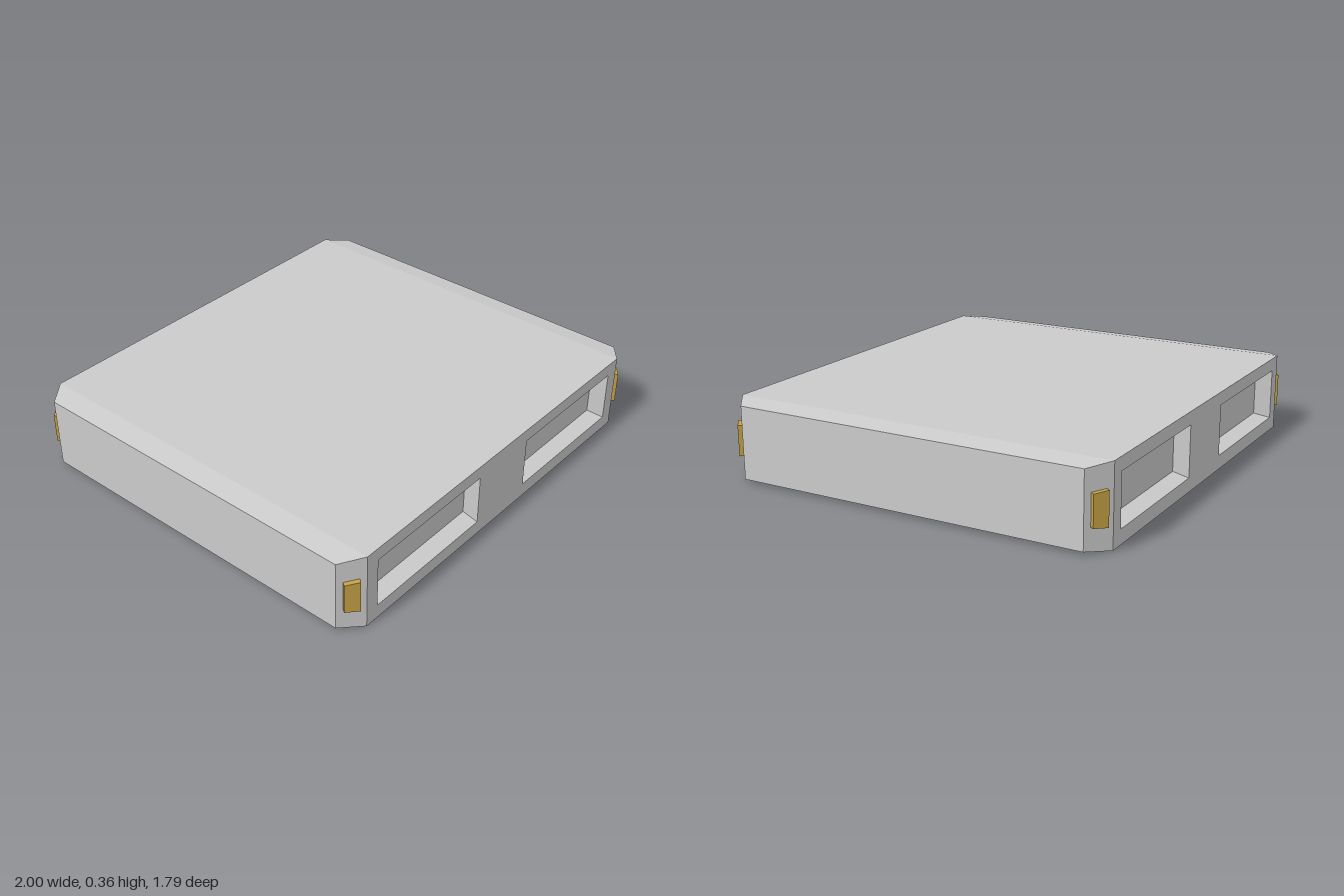
import * as THREE from 'three';

const HEIGHT = 0.36, DROP = 0.015;      // full height, bevel drop at the side walls
const XF = 0.9, ZF = 0.895;             // end face half width and depth
const XS = 1.0, ZS = 0.82;              // side wall half width and depth
const MID = HEIGHT / 2;

const grey = new THREE.MeshStandardMaterial({ color: 0xcccccc, flatShading: true });
const gold = new THREE.MeshStandardMaterial({ color: 0xc4a146, flatShading: true });

// Flat-faced geometry from convex polygons, corners counter-clockwise from outside
function facets(polygons) {
  const pos = [];
  for (const p of polygons)
    for (let i = 1; i < p.length - 1; i++) pos.push(...p[0], ...p[i], ...p[i + 1]);
  const g = new THREE.BufferGeometry();
  g.setAttribute('position', new THREE.Float32BufferAttribute(pos, 3));
  g.computeVertexNormals();
  return g;
}

function addMesh(parent, name, geometry, material) {
  const mesh = new THREE.Mesh(geometry, material);
  mesh.name = name;
  parent.add(mesh);
  return mesh;
}

// Corners of an upright rectangle, counter-clockwise seen from +z
const rect = (x0, x1, y0, y1, z) => [[x0, y0, z], [x1, y0, z], [x1, y1, z], [x0, y1, z]];

// Main slab: top and bottom panels, sloped borders, side walls and cut corners
function slabGeometry() {
  const polys = [];
  const addFace = (p, flip) => polys.push(flip ? p.slice().reverse() : p);
  for (const top of [true, false]) {
    const y = top ? HEIGHT : 0, ye = top ? HEIGHT - DROP : DROP;
    addFace([[-XF, y, ZF], [XF, y, ZF], [XF, y, -ZF], [-XF, y, -ZF]], !top);
    for (const s of [1, -1])
      addFace([[s * XF, y, ZF], [s * XS, ye, ZS], [s * XS, ye, -ZS], [s * XF, y, -ZF]], top !== (s > 0));
  }
  for (const s of [1, -1]) {
    addFace([[s * XS, DROP, ZS], [s * XS, DROP, -ZS], [s * XS, HEIGHT - DROP, -ZS], [s * XS, HEIGHT - DROP, ZS]], s < 0);
    for (const t of [1, -1])
      addFace([[s * XF, 0, t * ZF], [s * XS, DROP, t * ZS], [s * XS, HEIGHT - DROP, t * ZS], [s * XF, HEIGHT, t * ZF]], s * t < 0);
  }
  return facets(polys);
}

// Tapered pocket: straight on the inner side, sloped on the other three
function recessGeometry(s) {
  const span = (a, b) => (s > 0 ? [a, b] : [-b, -a]);
  const o = rect(...span(0.17, 0.835), 0.065, 0.3, ZF);
  const b = rect(...span(0.17, 0.815), 0.082, 0.284, ZF - 0.075);
  const polys = [b];
  for (let i = 0; i < 4; i++) {
    const j = (i + 1) % 4;
    polys.push([o[i], o[j], b[j], b[i]]);
  }
  return { geometry: facets(polys), rim: o };
}

// One end: face panel with two pockets
function makeEnd(name) {
  const end = new THREE.Group();
  end.name = name;
  const shape = new THREE.Shape(rect(-XF, XF, 0, HEIGHT, 0).map(p => new THREE.Vector2(p[0], p[1])));
  for (const s of [1, -1]) {
    const { geometry, rim } = recessGeometry(s);
    shape.holes.push(new THREE.Path(rim.map(p => new THREE.Vector2(p[0], p[1])).reverse()));
    addMesh(end, s > 0 ? 'leftRecess' : 'rightRecess', geometry, grey);
  }
  addMesh(end, 'endPanel', new THREE.ShapeGeometry(shape).translate(0, 0, ZF), grey);
  return end;
}

// Small plate standing on a cut corner, its height narrowing towards the side
function plateGeometry(s) {
  const g = new THREE.BoxGeometry(0.066, 0.144, 0.042);
  const p = g.attributes.position;
  for (let i = 0; i < p.count; i++)
    p.setY(i, p.getY(i) * (1 - s * p.getX(i) * 1.2));
  g.computeVertexNormals();
  return g;
}

export function createModel() {
  const model = new THREE.Group();
  model.name = 'slabModule';
  addMesh(model, 'body', slabGeometry(), grey);

  const front = makeEnd('frontEnd');
  const back = makeEnd('backEnd');
  back.rotation.y = Math.PI;
  model.add(front, back);

  // Corner plates
  const angle = Math.atan2(ZF - ZS, XS - XF);
  for (const end of [front, back])
    for (const s of [1, -1]) {
      const plate = addMesh(end, s > 0 ? 'leftCornerPlate' : 'rightCornerPlate', plateGeometry(s), gold);
      plate.position.set(s * (XF + XS) / 2, MID, (ZF + ZS) / 2);
      plate.rotation.y = s * angle;
    }
  return model;
}
